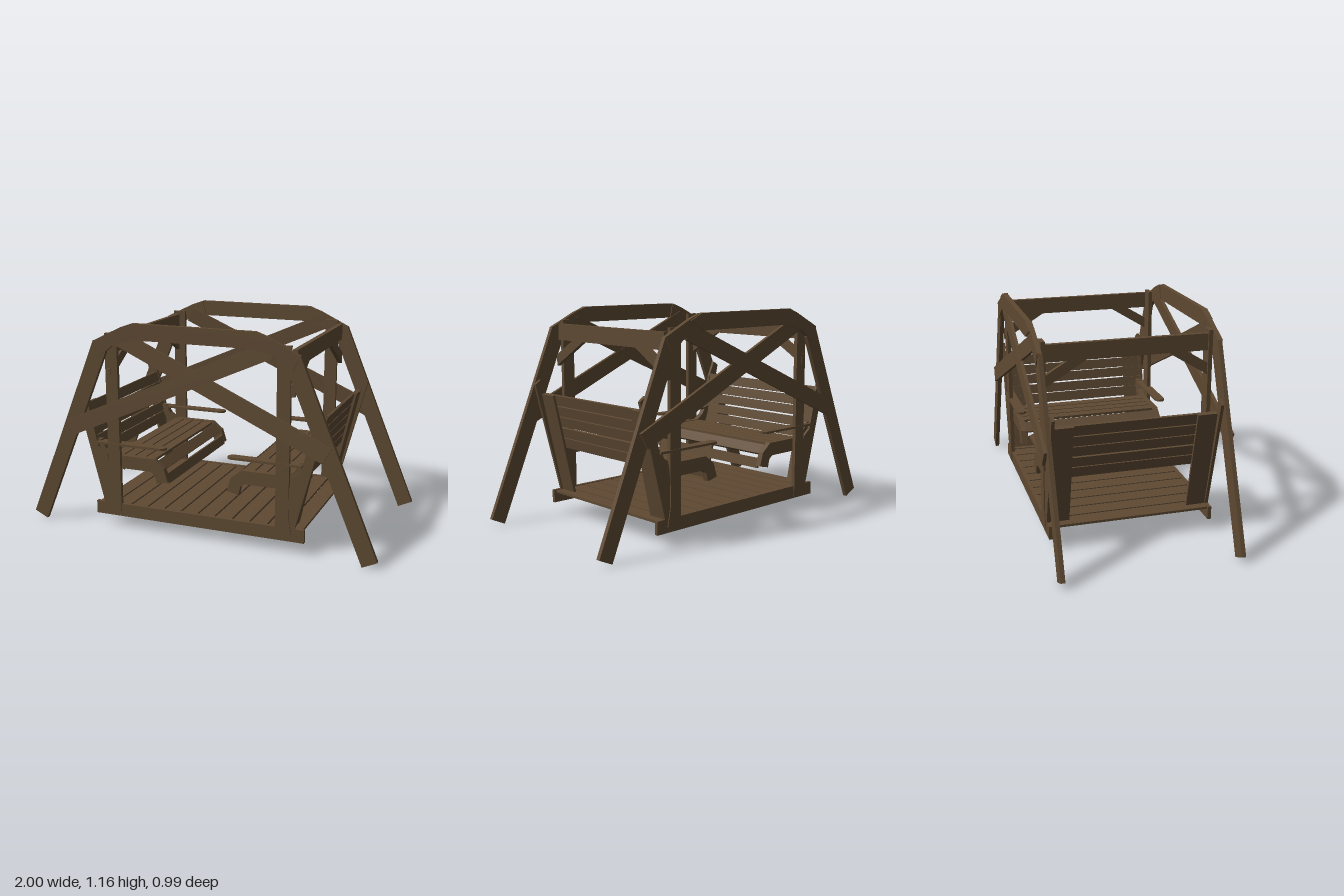
import * as THREE from 'three';

const wood = new THREE.MeshStandardMaterial({ color: 0x5e4932 });
wood.name = 'brown wood';

function polygon(pts) {
  return new THREE.Shape(pts.map(([x, y]) => new THREE.Vector2(x, y)));
}

export function createModel() {
  const group = new THREE.Group();
  const add = (name, geo) => {
    const mesh = new THREE.Mesh(geo, wood);
    mesh.name = name;
    group.add(mesh);
    return mesh;
  };
  const box = (name, w, h, d, x, y, z) => {
    const mesh = add(name, new THREE.BoxGeometry(w, h, d));
    mesh.position.set(x, y, z);
    return mesh;
  };
  // Board cut from an outline in the xy plane, mirrored by sx and sz
  const plate = (name, pts, z0, z1, sx, sz) => {
    const geo = new THREE.ExtrudeGeometry(polygon(pts.map(([x, y]) => [x * sx, y])),
      { depth: z1 - z0, bevelEnabled: false });
    geo.translate(0, 0, sz > 0 ? z0 : -z1);
    return add(name, geo);
  };
  // Slat running along z whose cross-section follows a line a-b
  const slat = (name, a, b, thick, length, sx) => {
    const dx = (b[0] - a[0]) * sx, dy = b[1] - a[1];
    const mesh = box(name, Math.hypot(dx, dy), thick, length,
      (a[0] + b[0]) / 2 * sx, (a[1] + b[1]) / 2, 0);
    mesh.rotation.z = Math.atan2(dy, dx);
    return mesh;
  };

  for (const sz of [1, -1]) {
    // Arched end frame
    plate('topBeam', [[-0.34, 1.167], [-0.42, 1.13], [-0.32, 1.08], [0.32, 1.08], [0.42, 1.13], [0.34, 1.167]],
      0.463, 0.49, 1, sz);
    // Swing base beam
    box('baseBeam', 1.215, 0.072, 0.02, 0, 0.106, sz * 0.437);

    for (const sx of [1, -1]) {
      plate('leg', [[1, 0.04], [0.922, 0.003], [0.505, 1.0], [0.5, 1.05], [0.578, 1.06]], 0.455, 0.478, sx, sz);
      plate('archCorner', [[0.578, 1.06], [0.54, 0.98], [0.46, 1.04], [0.32, 1.082], [0.34, 1.167], [0.41, 1.142]],
        0.458, 0.482, sx, sz);

      // Crossed brace: outside the leg below, behind the top beam above
      const brace = plate('crossBrace', [[-0.75, 0.61], [-0.705, 0.53], [0.44, 1.04], [0.4, 1.118]],
        0.479, 0.497, sx, sz);
      const p = brace.geometry.attributes.position;
      for (let i = 0; i < p.count; i++) {
        const t = Math.max(0, (p.getY(i) - 0.53) / 0.57);
        p.setZ(i, p.getZ(i) - sz * t * (sx > 0 ? 0.022 : 0.027));
      }
      brace.geometry.computeVertexNormals();

      // Hanger and side members of the bench
      plate('hanger', [[0.45, 0.08], [0.54, 0.1], [0.522, 0.2], [0.522, 1.1], [0.45, 1.1]], 0.43, 0.452, sx, sz);
      plate('backPost', [[0.49, 0.07], [0.55, 0.12], [0.715, 0.755], [0.68, 0.78], [0.64, 0.69], [0.585, 0.46], [0.53, 0.42]],
        0.43, 0.447, sx, sz);
      plate('seatRail', [[0.255, 0.42], [0.195, 0.372], [0.172, 0.298], [0.238, 0.283], [0.25, 0.33], [0.275, 0.347],
        [0.55, 0.347], [0.61, 0.5], [0.575, 0.5], [0.545, 0.45], [0.5, 0.42]], 0.4, 0.432, sx, sz);
      // Armrest with clipped front corners
      const arm = new THREE.ExtrudeGeometry(polygon([[0.18, -0.012], [0.2, -0.028], [0.59, -0.028],
        [0.59, 0.028], [0.2, 0.028], [0.18, 0.012]].map(([x, y]) => [x * sx, y])),
      { depth: 0.012, bevelEnabled: false });
      arm.rotateX(-Math.PI / 2);
      add('armrest', arm).position.set(0, 0.481, sz * 0.428);

      // Wide stile at the side of the backrest
      slat('backStile', [0.54, 0.138], [0.668, 0.7], 0.014, 0.11, sx).position.z = sz * 0.38;

      // Diagonal under the tie beam
      const knee = new THREE.ExtrudeGeometry(polygon([[0.455, 0.845], [0.215, 0.992], [0.315, 0.992], [0.455, 0.908]]
        .map(([z, y]) => [z * sz, y])), { depth: 0.024, bevelEnabled: false });
      knee.rotateY(-Math.PI / 2);
      add('kneeBrace', knee).position.x = (sx > 0 ? 0.537 : -0.5) + 0.012;
    }
  }

  // Floor slats
  for (let i = 0; i < 12; i++) box('floorSlat', 0.09, 0.013, 0.87, -0.55 + i * 0.1, 0.132, 0);

  for (const sx of [1, -1]) {
    // Tie beam between the end frames
    box('tieBeam', 0.026, 0.09, 0.87, sx > 0 ? 0.537 : -0.5, 1.036, 0);
    // Seat slats, rolling down over the front
    slat('seatFrontSlat', [0.181, 0.283], [0.192, 0.338], 0.014, 0.81, sx);
    slat('seatFrontSlat', [0.2, 0.36], [0.244, 0.404], 0.014, 0.81, sx);
    for (let i = 0; i < 4; i++) {
      slat('seatSlat', [0.258 + i * 0.066, 0.41], [0.316 + i * 0.066, 0.41], 0.014, 0.81, sx);
    }
    // Backrest slats on the inner face of the stiles
    for (const [y0, y1] of [[0.402, 0.457], [0.462, 0.516], [0.525, 0.579], [0.584, 0.639], [0.645, 0.702]]) {
      const x = (y) => 0.526 + (y - 0.138) * 0.228;
      slat('backSlat', [x(y0), y0], [x(y1), y1], 0.014, 0.86, sx);
    }
  }
  return group;
}
